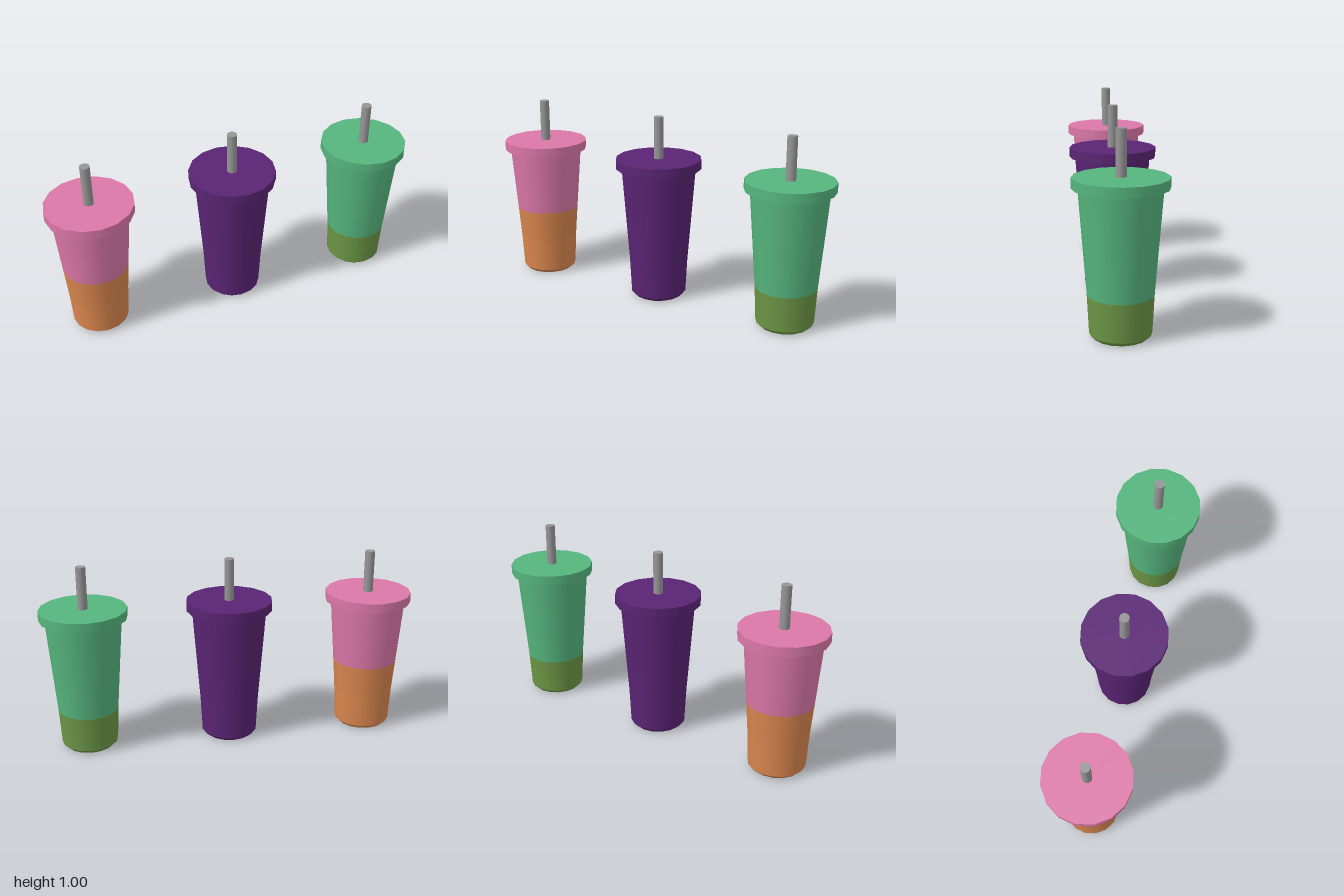
import * as THREE from 'three';

const SIDES = 16;
const material = (name, color) => {
  const m = new THREE.MeshStandardMaterial({ color });
  m.name = name;
  return m;
};

// Cup radius at a given height of the tapered wall
const WALL = [[0.02, 0.15], [0.21, 0.16], [0.72, 0.2]];
function wallRadius(y) {
  const i = y <= WALL[1][0] ? 0 : 1;
  const [y0, r0] = WALL[i], [y1, r1] = WALL[i + 1];
  return r0 + (r1 - r0) * (y - y0) / (y1 - y0);
}

// Upright round section between two heights
function section(name, mat, y0, y1, r0, r1, open = true, sides = SIDES) {
  const geo = new THREE.CylinderGeometry(r1, r0, y1 - y0, sides, 1, open);
  geo.translate(0, (y0 + y1) / 2, 0);
  const mesh = new THREE.Mesh(geo, mat);
  mesh.name = name;
  return mesh;
}

function wall(name, mat, heights) {
  const group = new THREE.Group();
  group.name = name;
  for (let i = 0; i < heights.length - 1; i++) {
    const [a, b] = [heights[i], heights[i + 1]];
    group.add(section(name + 'Band', mat, a, b, wallRadius(a), wallRadius(b)));
  }
  return group;
}

function tumbler(name, x, upper, lower, fill, strawMat) {
  const cup = new THREE.Group();
  cup.name = name;
  cup.position.x = x;

  // Bevelled foot with closed underside
  cup.add(section('foot', lower, 0, 0.02, 0.13, 0.15, false));
  // Lower and upper colour zones of the wall
  cup.add(wall('lowerCup', lower, fill > 0.21 ? [0.02, 0.21, fill] : [0.02, fill]));
  cup.add(wall('upperCup', upper, [fill, 0.72]));
  // Lid and straw
  cup.add(section('lid', upper, 0.72, 0.77, 0.23, 0.23, false));
  cup.add(section('straw', strawMat, 0.765, 0.995, 0.026, 0.026, false));
  return cup;
}

export function createModel() {
  const pink = material('pink', 0xdc78a8);
  const orange = material('orange', 0xda864e);
  const purple = material('purple', 0x5a2474);
  const green = material('green', 0x56b67e);
  const olive = material('olive', 0x6c9645);
  const grey = material('grey', 0x969696);

  const model = new THREE.Group();
  model.name = 'tumblerSet';
  model.add(
    tumbler('pinkTumbler', -0.77, pink, orange, 0.375, grey),
    tumbler('purpleTumbler', 0, purple, purple, 0.21, grey),
    tumbler('greenTumbler', 0.77, green, olive, 0.21, grey),
  );
  return model;
}
